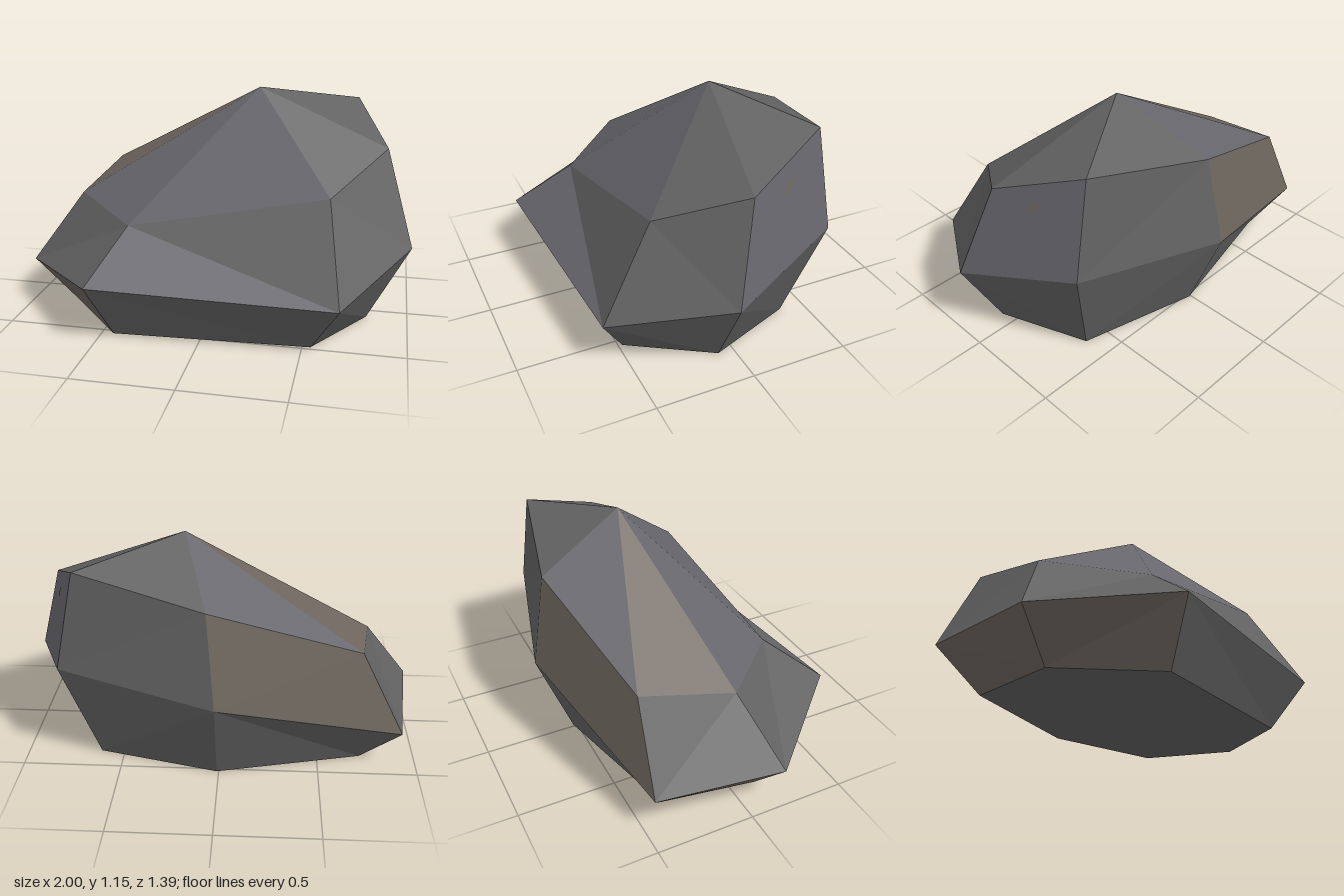
import * as THREE from 'three';

export function createModel() {
  const model = new THREE.Group();
  model.name = 'boulder';

  const stones = {
    g: { name: 'greyFacets', material: new THREE.MeshStandardMaterial({ name: 'neutral grey', color: 0x626263 }) },
    b: { name: 'blueGreyFacets', material: new THREE.MeshStandardMaterial({ name: 'blue grey', color: 0x67666c }) },
    t: { name: 'brownFacets', material: new THREE.MeshStandardMaterial({ name: 'warm brown', color: 0x6e665e }) },
  };
  const facets = { g: [], b: [], t: [] };
  const tri = (stone, ...corners) => corners.forEach((p) => facets[stone].push(...p));

  // Rings of seven corners: left, front, right, then round the back
  const base = [[-0.8, 0, 0.13], [-0.44, 0, 0.53], [0.54, 0, 0.48], [0.79, 0, 0.08],
    [0.62, 0, -0.37], [0.01, 0, -0.52], [-0.72, 0, -0.35]];
  const waist = [[-1, 0.22, 0.17], [-0.53, 0.3, 0.69], [0.68, 0.26, 0.625], [1, 0.4, 0.09],
    [0.78, 0.56, -0.5], [0.01, 0.47, -0.7], [-0.91, 0.22, -0.47]];
  const shoulder = [[-0.76, 0.57, 0.02], [-0.39, 0.53, 0.4], [0.6, 0.715, 0.35], [0.855, 0.88, -0.035],
    [0.68, 1.055, -0.47], [0.05, 0.93, -0.615], [-0.69, 0.66, -0.45]];
  const apex = [0.18, 1.15, -0.15];

  // Joins two rings; each quad is split along a rising (R) or falling (F) diagonal
  function band(low, high, diagonals, colours) {
    low.forEach((a, i) => {
      const j = (i + 1) % low.length;
      const b = low[j], c = high[j], d = high[i];
      const [first, second] = colours[i];
      if (diagonals[i] === 'R') {
        tri(first, a, b, c);
        tri(second, a, c, d);
      } else {
        tri(first, a, b, d);
        tri(second, b, c, d);
      }
    });
  }

  // Undercut sides and faceted upper sides
  band(base, waist, 'RFFFRFF', ['tt', 'gg', 'gg', 'gg', 'gg', 'gg', 'tt']);
  band(waist, shoulder, 'RFFRRRR', ['gg', 'bg', 'gg', 'bb', 'gg', 'tt', 'gg']);

  // Crown and flat underside
  const crown = 'bbgggbt';
  shoulder.forEach((p, i) => tri(crown[i], p, shoulder[(i + 1) % 7], apex));
  for (let i = 1; i < 6; i++) tri('g', base[0], base[i + 1], base[i]);

  // Small brown fleck lying on the right upper facet
  const onFacet = ([y, z]) => [0.858 + (-0.0488 * (y - 0.88) + 0.0691 * (z + 0.035)) / 0.2206, y, z];
  const fleck = [[0.83, -0.21], [0.825, -0.235], [0.855, -0.265], [0.885, -0.27], [0.88, -0.25]].map(onFacet);
  for (let i = 1; i < 4; i++) tri('t', fleck[0], fleck[i], fleck[i + 1]);

  // One mesh per stone colour; unshared corners keep every facet flat
  for (const key of Object.keys(stones)) {
    const geometry = new THREE.BufferGeometry();
    geometry.setAttribute('position', new THREE.Float32BufferAttribute(facets[key], 3));
    geometry.computeVertexNormals();
    const mesh = new THREE.Mesh(geometry, stones[key].material);
    mesh.name = stones[key].name;
    model.add(mesh);
  }
  return model;
}
